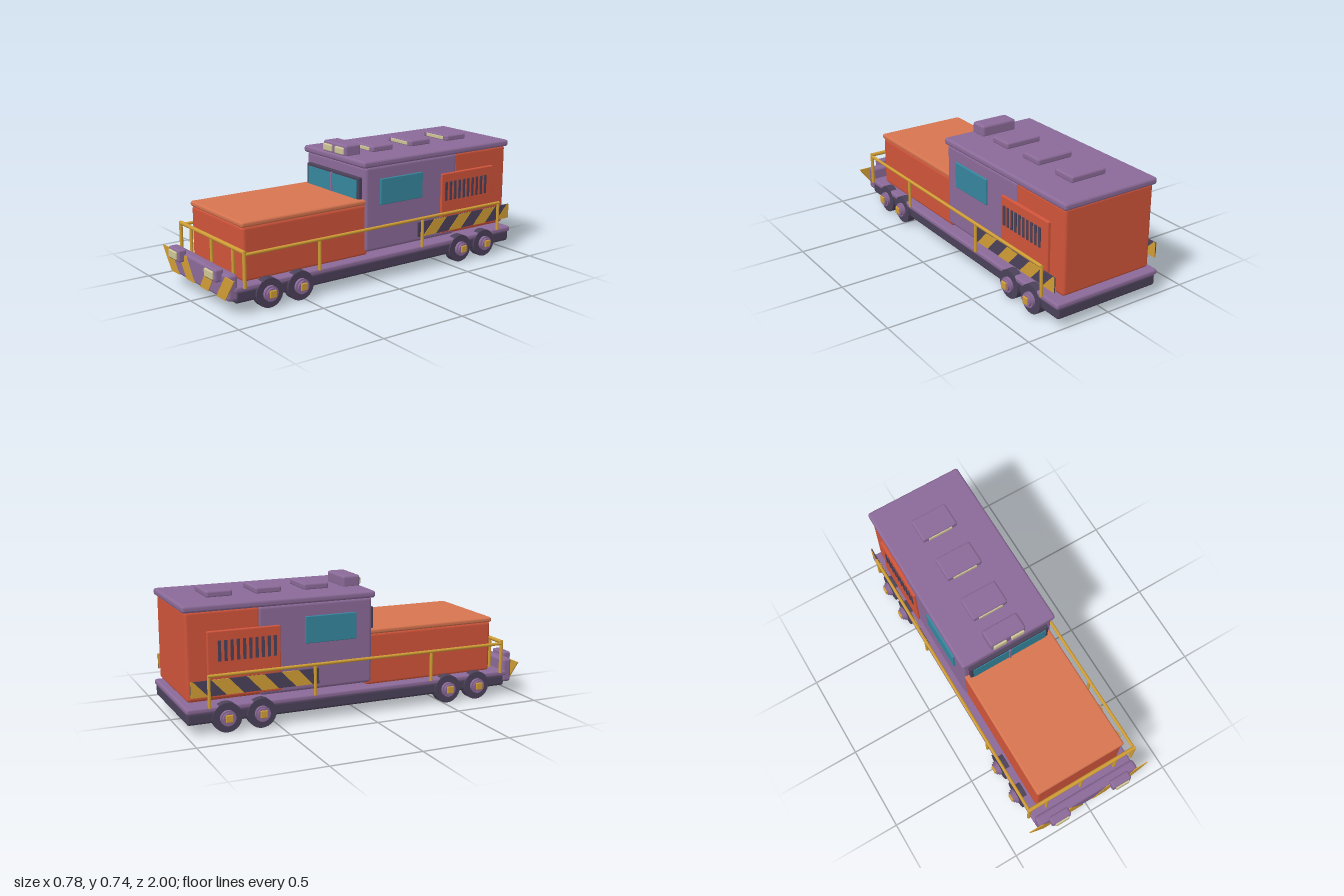
import * as THREE from 'three';
import { RoundedBoxGeometry } from 'three/addons/geometries/RoundedBoxGeometry.js';

const mat = (name, color) => {
  const m = new THREE.MeshStandardMaterial({ color });
  m.name = name;
  return m;
};

export function createModel() {
  const purple = mat('purple paint', 0x8b6a98);
  const dark = mat('dark frame', 0x4b4159);
  const red = mat('red body', 0xd0543a);
  const orange = mat('orange lid', 0xd6744f);
  const glass = mat('teal glass', 0x36869e);
  const yellow = mat('yellow', 0xd09d35);
  const cream = mat('cream lamp', 0xcdc596);

  const model = new THREE.Group();
  model.name = 'locomotive';

  const add = (name, geo, material) => {
    const m = new THREE.Mesh(geo, material);
    m.name = name;
    model.add(m);
    return m;
  };
  // Softened box given by its extents along x, y and z
  const box = (name, material, [x0, x1], [y0, y1], [z0, z1], r = 0.012) => {
    const w = x1 - x0, h = y1 - y0, d = z1 - z0;
    const geo = r > 0
      ? new RoundedBoxGeometry(w, h, d, 2, Math.min(r, w / 2.1, h / 2.1, d / 2.1))
      : new THREE.BoxGeometry(w, h, d);
    geo.translate((x0 + x1) / 2, (y0 + y1) / 2, (z0 + z1) / 2);
    return add(name, geo, material);
  };
  // Mirror an x range to the chosen side
  const sideRange = (s, a, b) => (s > 0 ? [a, b] : [-b, -a]);
  // Thin flat plate from an outline
  const plate = (name, material, points, depth) => add(name, new THREE.ExtrudeGeometry(
    new THREE.Shape(points.map(([x, y]) => new THREE.Vector2(x, y))),
    { depth, bevelEnabled: false }), material);
  // Round bar between two points
  const bar = (name, a, b, r = 0.009) => {
    const p = new THREE.Vector3(...a), q = new THREE.Vector3(...b);
    const m = add(name, new THREE.CylinderGeometry(r, r, p.distanceTo(q), 10), yellow);
    m.position.copy(p).add(q).multiplyScalar(0.5);
    m.quaternion.setFromUnitVectors(new THREE.Vector3(0, 1, 0), q.sub(p).normalize());
  };

  // Chassis
  box('underframe', dark, [-0.32, 0.32], [0.055, 0.122], [-0.995, 0.91], 0.015);
  box('deck', purple, [-0.33, 0.33], [0.115, 0.147], [-1, 0.92]);

  // Front hood and lid
  box('hood', red, [-0.273, 0.273], [0.14, 0.437], [0.04, 0.835], 0.02);
  box('hoodLid', orange, [-0.277, 0.277], [0.43, 0.46], [0.05, 0.84]);

  // Cab, rear body and roof
  box('cab', purple, [-0.284, 0.284], [0.16, 0.642], [-0.59, 0.068], 0.02);
  box('rearBody', red, [-0.28, 0.28], [0.165, 0.642], [-0.98, -0.575], 0.018);
  box('roof', purple, [-0.293, 0.293], [0.636, 0.675], [-0.995, 0.085], 0.015);

  // Windscreen
  box('windscreenFrame', dark, [-0.25, 0.25], [0.43, 0.58], [0.05, 0.09], 0.005);
  box('windscreen', glass, [-0.232, 0.232], [0.44, 0.565], [0.088, 0.094], 0);
  box('windscreenDivider', purple, [-0.007, 0.007], [0.44, 0.57], [0.088, 0.1], 0.003);

  // Roof lamp housing and lamps
  box('roofLampHousing', purple, [-0.11, 0.11], [0.665, 0.735], [-0.03, 0.076], 0.015);
  for (const s of [1, -1]) box('roofLamp', cream, sideRange(s, 0.014, 0.096), [0.679, 0.72], [0.06, 0.087], 0.008);

  // Roof vents with a pale strip at the front
  for (const z of [-0.188, -0.465, -0.74]) {
    box('roofVent', purple, [-0.11, 0.11], [0.67, 0.708], [z - 0.073, z + 0.073]);
    box('roofVentStrip', cream, [-0.075, 0.075], [0.678, 0.698], [z + 0.065, z + 0.078], 0.003);
  }

  // Bumper, headlamps and mirrored hazard stripes
  box('bumper', purple, [-0.325, 0.325], [0.075, 0.215], [0.895, 0.955], 0.018);
  for (const s of [1, -1]) {
    box('headlampHousing', purple, sideRange(s, 0.138, 0.26), [0.168, 0.237], [0.94, 0.99], 0.012);
    box('headlamp', cream, sideRange(s, 0.155, 0.243), [0.18, 0.225], [0.97, 1.0], 0.007);
    for (const [top, bottom] of [[0.3, 0.205], [0.115, 0.03]]) {
      const stripe = plate('bumperStripe', yellow, [
        [s * top, 0.205], [s * (top + 0.09), 0.205], [s * (bottom + 0.09), 0.08], [s * bottom, 0.08],
      ], 0.006);
      stripe.position.z = 0.952;
    }
  }

  // Front railing
  bar('frontRail', [-0.345, 0.325, 0.866], [0.345, 0.325, 0.866], 0.011);
  for (const x of [-0.225, 0, 0.225]) bar('frontRailPost', [x, 0.14, 0.866], [x, 0.325, 0.866]);

  for (const s of [1, -1]) {
    // Side windows
    box('sideWindow', glass, sideRange(s, 0.27, 0.295), [0.42, 0.567], [-0.328, -0.03], 0.004);

    // Engine grille
    box('grillePanel', red, sideRange(s, 0.26, 0.297), [0.182, 0.535], [-0.87, -0.47], 0.006);
    for (let i = 0; i < 10; i++) {
      const z = -0.502 - i * 0.0338;
      box('grilleSlot', dark, sideRange(s, 0.28, 0.302), [0.375, 0.485], [z - 0.008, z + 0.008], 0);
    }

    // Striped side board
    const board = box('sideBoard', dark, sideRange(s, 0.326, 0.332), [0.205, 0.29], [-0.975, -0.268], 0);
    board.name = s > 0 ? 'leftSideBoard' : 'rightSideBoard';
    for (let i = 0; i < 4; i++) {
      const a = 0.305 + i * 0.192, end = 0.975;
      const points = [[a, 0.205], [Math.min(a + 0.095, end), 0.205]];
      if (a + 0.175 > end) points.push([end, 0.29]);
      else points.push([a + 0.175, 0.29]);
      points.push([Math.min(a + 0.08, end - 0.001), 0.29]);
      const stripe = plate('sideBoardStripe', yellow, points, 0.009);
      stripe.rotation.y = Math.PI / 2;
      stripe.position.x = s * 0.329 - 0.0045;
    }

    // Side railing
    bar('sideRail', [s * 0.341, 0.314, -0.885], [s * 0.341, 0.314, 0.87]);
    for (const z of [-0.88, -0.293, 0.41]) bar('sideRailPost', [s * 0.339, 0.145, z], [s * 0.339, 0.314, z]);
    bar('cornerPost', [s * 0.341, 0.14, 0.868], [s * 0.341, 0.333, 0.868], 0.01);

    // Wheels: tyre, stepped hub and square cap
    for (const z of [0.715, 0.525, -0.593, -0.782]) {
      const disc = (name, material, r, x0, x1) => {
        const m = add(name, new THREE.CylinderGeometry(r, r, x1 - x0, 28), material);
        m.rotation.z = Math.PI / 2;
        m.position.set(s * (x0 + x1) / 2, 0.08, z);
      };
      disc('tyre', dark, 0.08, 0.285, 0.332);
      disc('wheelDisc', purple, 0.042, 0.33, 0.348);
      disc('wheelHub', purple, 0.033, 0.345, 0.36);
      box('wheelCap', yellow, sideRange(s, 0.35, 0.369), [0.063, 0.103], [z - 0.02, z + 0.02], 0.004);
    }
  }
  return model;
}
